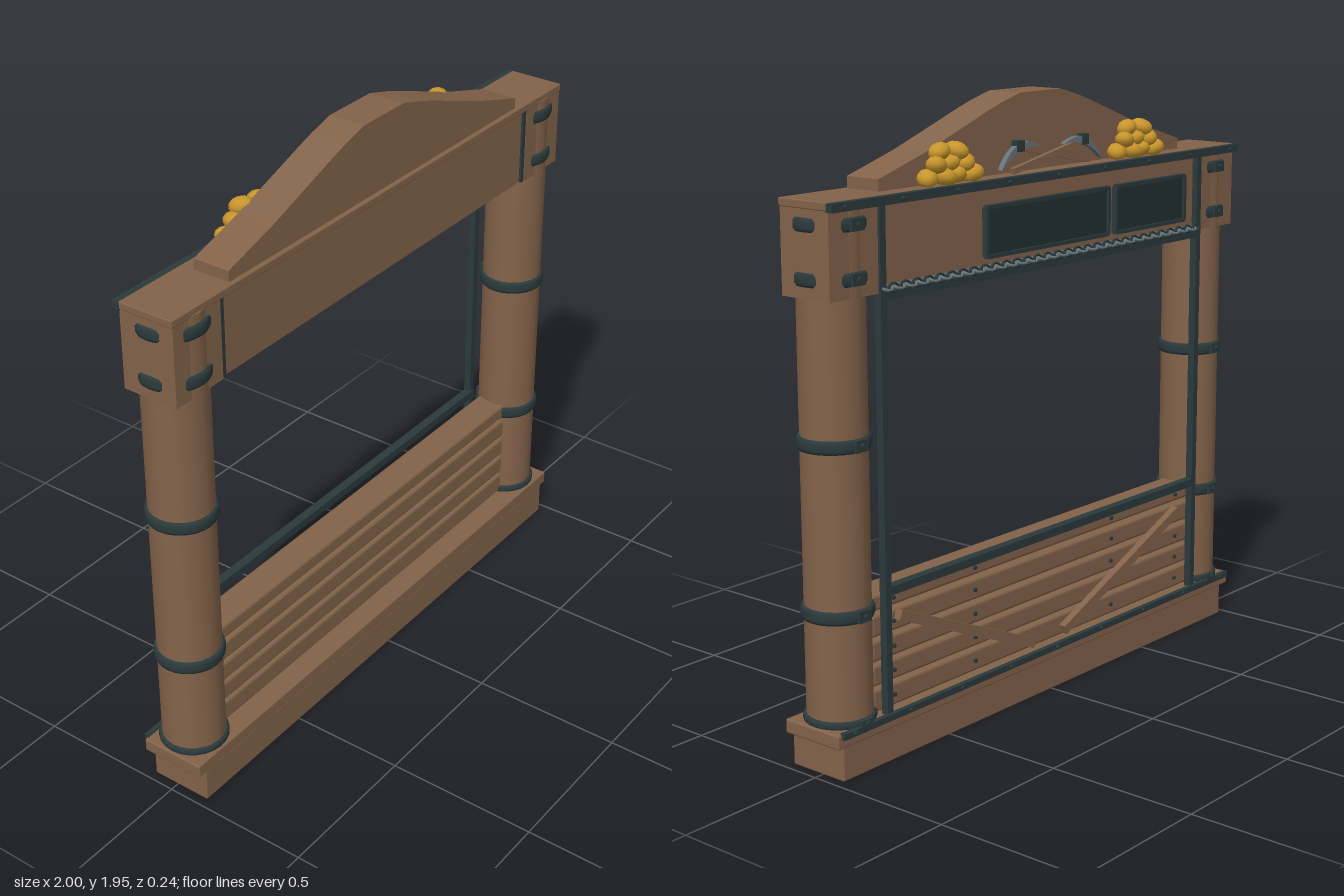
import * as THREE from 'three';
import { RoundedBoxGeometry } from 'three/addons/geometries/RoundedBoxGeometry.js';

const flat = (name, color) => {
  const m = new THREE.MeshStandardMaterial({ color });
  m.name = name;
  return m;
};

export function createModel() {
  const wood = flat('wood', 0x83634a);
  const iron = flat('dark iron', 0x2b3a3c);
  const board = flat('sign board', 0x223031);
  const steel = flat('steel', 0x68757b);
  const gold = flat('gold', 0xc8962c);

  const model = new THREE.Group();
  model.name = 'timberStallFront';

  const add = (name, geometry, material, x = 0, y = 0, z = 0, parent = model) => {
    const mesh = new THREE.Mesh(geometry, material);
    mesh.name = name;
    mesh.position.set(x, y, z);
    parent.add(mesh);
    return mesh;
  };
  // Box given by its extents along each axis
  const span = (name, mat, x0, x1, y0, y1, z0, z1, round = 0) => {
    const s = [x1 - x0, y1 - y0, z1 - z0];
    const g = round ? new RoundedBoxGeometry(...s, 2, round) : new THREE.BoxGeometry(...s);
    return add(name, g, mat, (x0 + x1) / 2, (y0 + y1) / 2, (z0 + z1) / 2);
  };
  // Beam laid between two points in the xy plane
  const beam = (name, mat, ax, ay, bx, by, z, w, d) => {
    const m = add(name, new THREE.BoxGeometry(Math.hypot(bx - ax, by - ay), w, d), mat, (ax + bx) / 2, (ay + by) / 2, z);
    m.rotation.z = Math.atan2(by - ay, bx - ax);
    return m;
  };

  // Base, ledge, header beam and cap
  span('base', wood, -0.97, 0.97, 0, 0.115, -0.09, 0.12, 0.005);
  span('ledge', wood, -1, 1, 0.11, 0.155, -0.1, 0.12, 0.006);
  span('header', wood, -0.8, 0.8, 1.43, 1.69, -0.08, 0.088);
  span('cap', wood, -0.99, 0.99, 1.685, 1.71, -0.09, 0.1, 0.004);

  // Pediment with a swept top
  const half = [[0.73, 1.7], [0.73, 1.745], [0.53, 1.805], [0.25, 1.905], [0.19, 1.925], [0.1, 1.95]];
  const outline = [...half, ...half.slice().reverse().map(([x, y]) => [-x, y])];
  const pediment = new THREE.ExtrudeGeometry(
    new THREE.Shape(outline.map(([x, y]) => new THREE.Vector2(x, y))), { depth: 0.125, bevelEnabled: false });
  add('pediment', pediment, wood, 0, 0, -0.04);

  // Lower wall planks, with narrow gaps between
  const planks = [[0.155, 0.229], [0.237, 0.305], [0.313, 0.382], [0.391, 0.461], [0.472, 0.525]];
  for (const [y0, y1] of planks) {
    span('plank', wood, -0.81, 0.81, y0, y1, -0.06, 0.05, 0.012);
  }

  // Columns with capital blocks, iron bands and buckles
  for (const side of [-1, 1]) {
    const cx = side * 0.885;
    add('column', new THREE.CylinderGeometry(0.1, 0.1, 1.54, 24), wood, cx, 0.92, 0.005);
    add('capitalBlock', new THREE.BoxGeometry(0.2, 0.26, 0.19), wood, cx, 1.56, 0.003);
    for (const y of [0.165, 0.495, 1.005, 1.485, 1.64]) {
      const h = y < 0.2 ? 0.024 : 0.04;
      const ring = new THREE.LatheGeometry([[0.095, -h / 2], [0.106, -h / 2], [0.11, -h / 4], [0.11, h / 4],
        [0.106, h / 2], [0.095, h / 2]].map(([r, v]) => new THREE.Vector2(r, v)), 24);
      add('columnBand', ring, iron, cx, y, 0.005);
      add('bandBuckle', new THREE.BoxGeometry(0.05, h * 0.9, 0.014), iron, cx, y, -0.103);
      const bolt = add('bandBolt', new THREE.CylinderGeometry(0.008, 0.008, 0.012, 8), iron, cx, y, -0.112);
      bolt.rotation.x = Math.PI / 2;
    }

    // Iron edging beside the opening
    span('backEdging', iron, side * 0.778 - 0.012, side * 0.778 + 0.012, 0.155, 1.69, -0.1, -0.075);
    span('frontEdging', iron, side * 0.778 - 0.009, side * 0.778 + 0.009, 1.43, 1.69, 0.08, 0.096);

    // Diagonal brace on the back of the lower wall
    beam('brace', wood, side * 0.08, 0.178, side * 0.71, 0.445, -0.072, 0.032, 0.025);

    // Plank nails
    for (const [y0, y1] of planks) {
      for (const x of [0.72, 0.35]) {
        const nail = add('nail', new THREE.CylinderGeometry(0.007, 0.007, 0.01, 8), iron, side * x, (y0 + y1) / 2, -0.062);
        nail.rotation.x = Math.PI / 2;
      }
    }
  }

  // Iron trim around the opening and along the back edges
  span('openingTopTrim', iron, -0.785, 0.785, 1.408, 1.434, -0.1, -0.07);
  span('openingBottomTrim', iron, -0.785, 0.785, 0.525, 0.552, -0.1, -0.07);
  span('capTrim', iron, -0.99, 0.99, 1.682, 1.708, -0.112, -0.088);
  span('ledgeTrim', iron, -0.985, 0.985, 0.14, 0.16, -0.112, -0.095);
  for (let i = -4; i <= 4; i++) {
    for (const y of [0.15, 1.695]) {
      add('trimStud', new THREE.SphereGeometry(0.007, 8, 6), iron, i * 0.235, y, -0.113);
    }
  }

  // Two framed sign boards on the back of the header
  for (const [x0, x1] of [[-0.28, 0.32], [-0.7, -0.32]]) {
    const y0 = 1.475, y1 = 1.625;
    span('signBoard', board, x0, x1, y0, y1, -0.09, -0.078);
    for (const y of [y0, y1]) span('signFrame', iron, x0, x1, y - 0.006, y + 0.006, -0.098, -0.078);
    for (const x of [x0, x1]) span('signFrame', iron, x - 0.006, x + 0.006, y0, y1, -0.098, -0.078);
  }

  // Chain along the lower edge of the header
  const link = new THREE.TorusGeometry(0.014, 0.0045, 6, 10);
  for (let i = 0; i < 62; i++) {
    const m = add('chainLink', link, i % 2 ? steel : iron, -0.763 + i * 0.025, 1.443, -0.1);
    m.scale.set(1.3, 0.85, 1);
    m.rotation.x = i % 2 ? 1.1 : 0.2;
  }

  // Heaps of gold nuggets on the cap
  const nugget = new THREE.IcosahedronGeometry(0.036, 1);
  for (const cx of [-0.455, 0.455]) {
    [4, 3, 2].forEach((count, row) => {
      for (let i = 0; i < count; i++) {
        const m = add('goldNugget', nugget, gold, cx + (i - (count - 1) / 2) * 0.062,
          1.732 + row * 0.036, -0.074 + (i % 2) * 0.012 + row * 0.004);
        m.scale.set(1.1, 0.75, 0.9);
        m.rotation.set(0, i * 1.3 + row, (i % 2 ? 1 : -1) * 0.25);
      }
    });
  }

  // Crossed pickaxes leaning on the pediment
  for (const side of [-1, 1]) {
    const z = side > 0 ? -0.07 : -0.092;
    beam('pickHandle', wood, side * 0.15, 1.79, -side * 0.2, 1.722, z, 0.018, 0.016);
    const head = new THREE.Shape();
    head.moveTo(-0.1, -0.03);
    head.quadraticCurveTo(0, 0.06, 0.1, -0.03);
    head.quadraticCurveTo(0, 0.015, -0.1, -0.03);
    const pick = add('pickHead', new THREE.ExtrudeGeometry(head, { depth: 0.018, bevelEnabled: false, curveSegments: 8 }),
      steel, side * 0.145, 1.785, z - 0.009);
    pick.rotation.z = -side * 0.3;
    span('pickCollar', iron, side * 0.145 - 0.016, side * 0.145 + 0.016, 1.776, 1.81, z - 0.013, z + 0.013);
  }

  return model;
}
